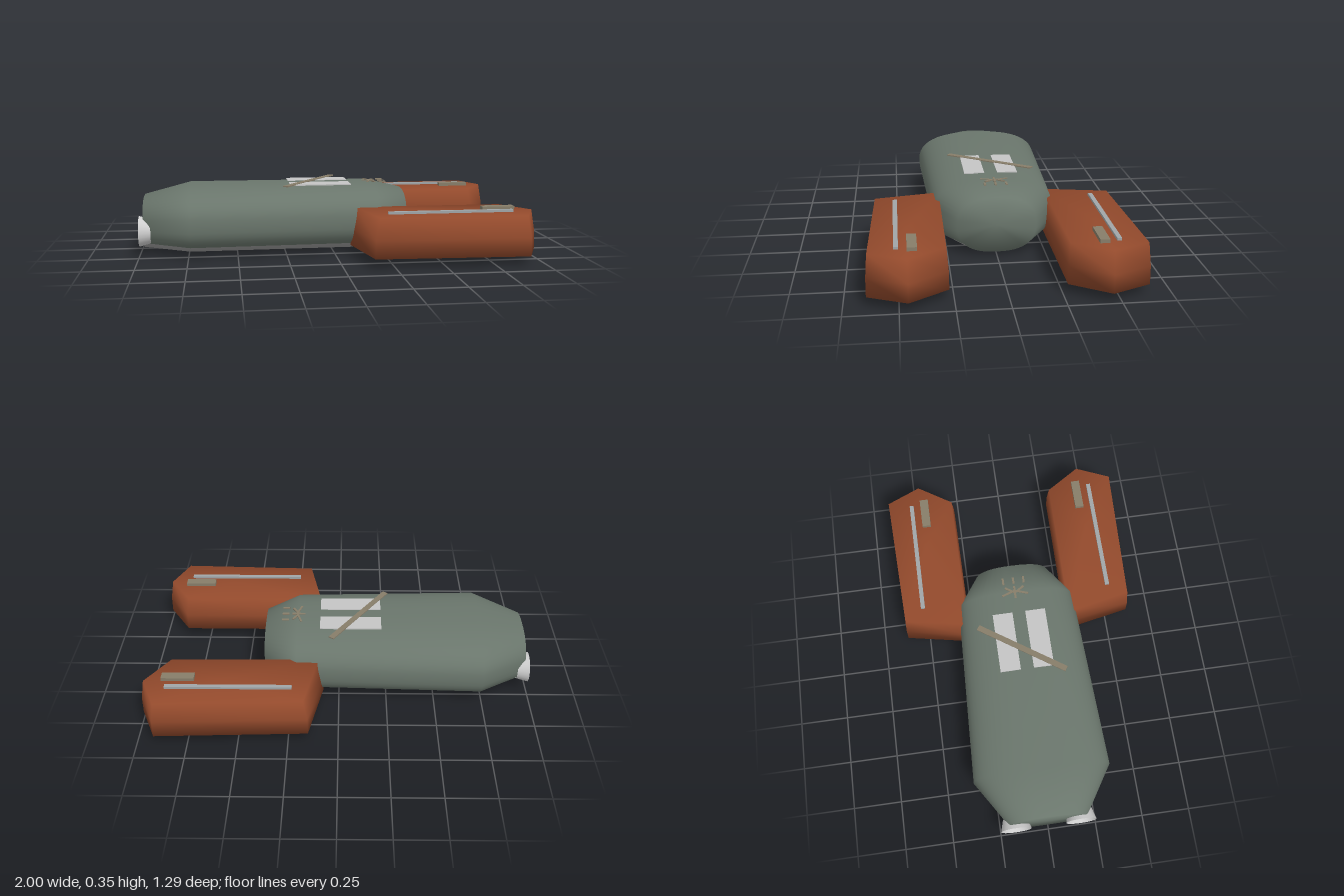
import * as THREE from 'three';

const paint = (name, color, side = THREE.FrontSide) => {
  const m = new THREE.MeshStandardMaterial({ color, side });
  m.name = name;
  return m;
};

// Skins a list of rings and closes both ends; isSecond(j) puts a strip in group 1.
function loft(rings, isSecond = () => false) {
  const n = rings[0].length, last = rings.length - 1;
  const points = rings.flat();
  const groups = [[], []];
  for (let i = 0; i < last; i++) {
    for (let j = 0; j < n; j++) {
      const k = (j + 1) % n;
      const a = i * n + j, b = i * n + k, c = a + n, d = b + n;
      groups[isSecond(j) ? 1 : 0].push(a, b, c, b, d, c);
    }
  }
  for (const end of [0, last]) {
    const centre = new THREE.Vector3();
    rings[end].forEach((p) => centre.addScaledVector(p, 1 / n));
    const c = points.push(centre) - 1;
    for (let j = 0; j < n; j++) {
      const a = end * n + j, b = end * n + ((j + 1) % n);
      groups[0].push(c, ...(end ? [a, b] : [b, a]));
    }
  }
  const geo = new THREE.BufferGeometry().setFromPoints(points);
  geo.setIndex(groups.flat());
  geo.addGroup(0, groups[0].length, 0);
  geo.addGroup(groups[0].length, groups[1].length, 1);
  geo.computeVertexNormals();
  return geo;
}

export function createModel() {
  const model = new THREE.Group();
  const hullGreen = paint('hull green', 0x6a766c);
  const bellyGrey = paint('belly grey', 0x999999);
  const rust = paint('rust', 0x934a2c);
  const panelGrey = paint('panel grey', 0xc4c4c4);
  const nozzleGrey = paint('nozzle grey', 0xcfcfcf, THREE.DoubleSide);
  const bronze = paint('bronze', 0x877d69);
  const steel = paint('steel', 0xa0a6a8);

  const add = (name, geo, mat, x = 0, y = 0, z = 0) => {
    const mesh = new THREE.Mesh(geo, mat);
    mesh.name = name;
    mesh.position.set(x, y, z);
    model.add(mesh);
    return mesh;
  };
  // Flat stick between two points on the deck
  const stick = (name, x1, z1, x2, z2, width, y, height) => {
    const length = Math.hypot(x2 - x1, z2 - z1);
    const mesh = add(name, new THREE.BoxGeometry(length, height, width), bronze,
      (x1 + x2) / 2, y, (z1 + z2) / 2);
    mesh.rotation.y = -Math.atan2(z2 - z1, x2 - x1);
  };

  // Hull: rounded sections along x as [x, half width, bottom, top]
  const SEG = 48;
  const soft = (v) => Math.sign(v) * Math.abs(v) ** 0.8;
  const sections = [
    [-0.98, 0.2, 0.022, 0.292],
    [-0.74, 0.354, 0.003, 0.349],
    [0.22, 0.316, 0.003, 0.349],
    [0.39, 0.2, 0.02, 0.31],
  ];
  const hullRings = sections.map(([x, w, low, high]) =>
    Array.from({ length: SEG }, (_, j) => {
      const a = (j / SEG) * Math.PI * 2;
      return new THREE.Vector3(x,
        (low + high) / 2 + soft(Math.cos(a)) * (high - low) / 2, soft(Math.sin(a)) * w);
    }));
  add('hull', loft(hullRings, (j) => j >= 17 && j <= 30), [hullGreen, bellyGrey]);

  // Side pods: outline in x, z, drawn in slightly toward the top
  const outline = [[0.08, 0.268], [0.15, 0.618], [0.915, 0.645], [0.997, 0.458], [0.875, 0.272]];
  const levels = [[0.05, 1], [0.14, 0.995], [0.25, 0.95]];
  for (const side of [1, -1]) {
    const label = side > 0 ? 'left' : 'right';
    const rings = levels.map(([y, s]) => {
      const ring = outline.map(([x, z]) => new THREE.Vector3(
        0.56 + (x - 0.56) * s, y, side * (0.455 + (z - 0.455) * s)));
      return side > 0 ? ring : ring.reverse();
    });
    add(label + 'Pod', loft(rings), [rust, rust]);
    add(label + 'PodRail', new THREE.BoxGeometry(0.63, 0.018, 0.022), steel,
      0.545, 0.253, side * 0.507);
    add(label + 'PodHatch', new THREE.BoxGeometry(0.165, 0.024, 0.046), bronze,
      0.803, 0.256, side * 0.435);

    // Deck panel
    add(label + 'DeckPanel', new THREE.BoxGeometry(0.32, 0.006, 0.106), panelGrey,
      -0.06, 0.348, side * 0.087);

    // Flared open nozzle at the tail
    const nozzle = new THREE.CylinderGeometry(0.079, 0.062, 0.06, 24, 1, true);
    nozzle.rotateZ(Math.PI / 2);
    add(label + 'Nozzle', nozzle, nozzleGrey, -0.97, 0.128, side * 0.168);
  }

  // Diagonal deck bar
  stick('deckBar', -0.25, 0.2, 0.04, -0.225, 0.03, 0.351, 0.006);

  // Small sticks fanned out on the nose
  const fan = [
    [0.2, -0.075, 0.222, -0.01], [0.245, -0.055, 0.215, -0.01], [0.18, -0.005, 0.25, -0.005],
    [0.2, 0.065, 0.222, 0], [0.245, 0.045, 0.215, 0],
    [0.265, -0.06, 0.302, -0.06], [0.265, -0.005, 0.302, -0.005], [0.265, 0.05, 0.302, 0.05],
  ];
  fan.forEach(([x1, z1, x2, z2]) => stick('noseStick', x1, z1, x2, z2, 0.011, 0.348, 0.006));

  return model;
}
